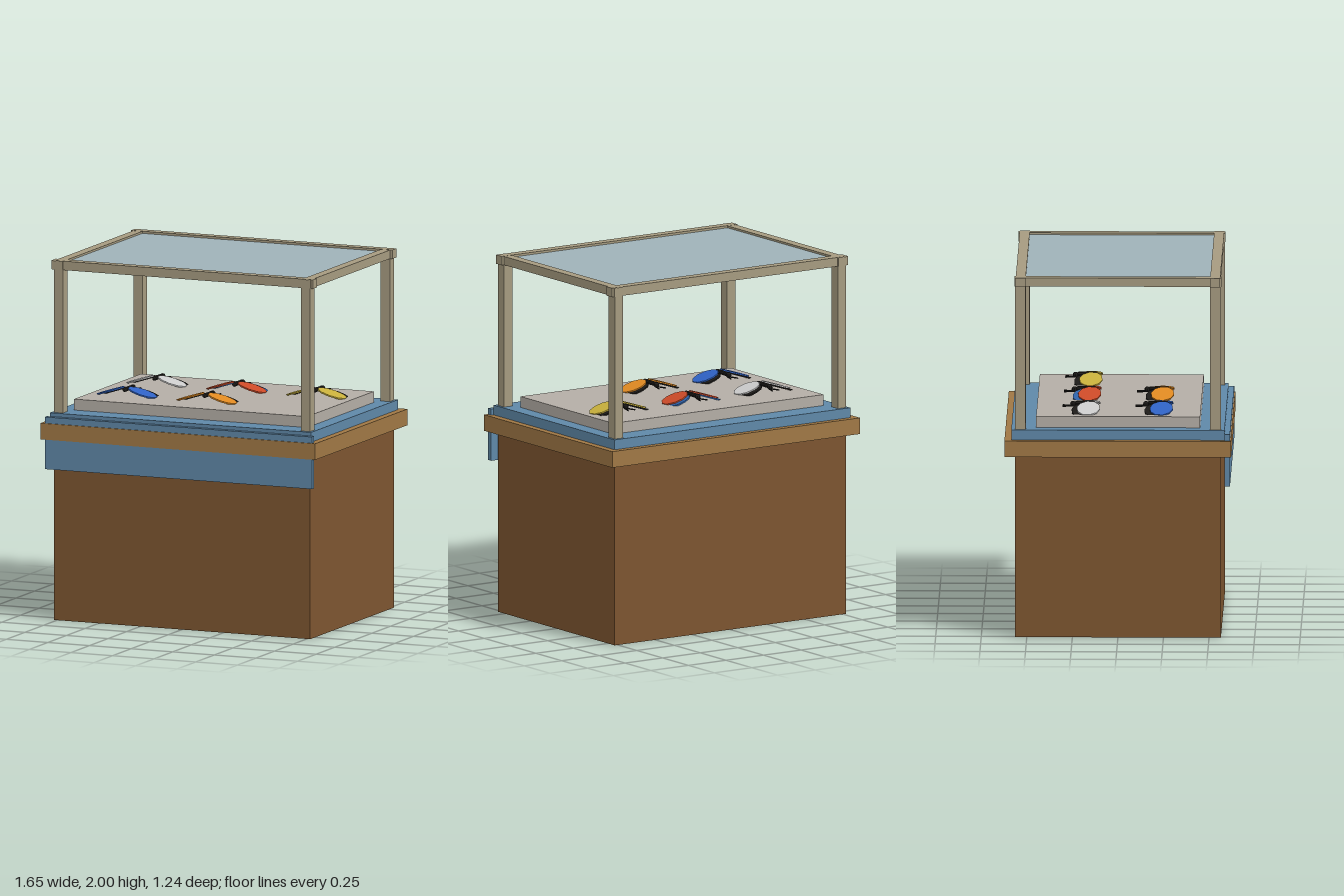
import * as THREE from 'three';

const mat = (color) => new THREE.MeshStandardMaterial({ color, flatShading: true });
const WOOD = mat(0x7d5530), TRIM = mat(0xa07845), CLOTH = mat(0x5f88a8), PAD = mat(0xb4aea6);
const FRAME = mat(0xa69b80), GLASS = mat(0x9fb2b8), DARK = mat(0x1c1a18);

function add(parent, name, geometry, material, x = 0, y = 0, z = 0) {
  const mesh = new THREE.Mesh(geometry, material);
  mesh.name = name;
  mesh.position.set(x, y, z);
  parent.add(mesh);
  return mesh;
}

// Box given by its extents along each axis
function block(parent, name, material, [x0, x1], [y0, y1], [z0, z1]) {
  return add(parent, name, new THREE.BoxGeometry(x1 - x0, y1 - y0, z1 - z0), material,
    (x0 + x1) / 2, (y0 + y1) / 2, (z0 + z1) / 2);
}

// Butterfly with drooping wings, head towards -z
function butterfly(color, accent) {
  const g = new THREE.Group();
  g.name = 'butterfly';
  const main = mat(color), tip = accent ? mat(accent) : DARK;

  const body = add(g, 'body', new THREE.CapsuleGeometry(0.013, 0.09, 3, 8), DARK, 0, 0.038, 0.015);
  body.rotation.x = Math.PI / 2;
  add(g, 'head', new THREE.SphereGeometry(0.016, 8, 6), DARK, 0, 0.034, -0.05);

  for (const s of [-1, 1]) {
    const side = new THREE.Group();
    side.name = s > 0 ? 'leftWings' : 'rightWings';
    side.position.set(s * 0.01, 0.05, 0);
    side.rotation.z = -s * 0.3;
    g.add(side);
    const wing = (name, m, rx, rz, x, y, z, turn) => {
      const geo = new THREE.CylinderGeometry(1, 1, 0.008, 10).scale(rx, 1, rz);
      add(side, name, geo, m, s * x, y, z).rotation.y = s * turn;
    };
    wing('wing', main, 0.085, 0.064, 0.09, 0, 0.035, 0.15);
    wing('wingEdge', tip, 0.075, 0.045, 0.095, -0.007, -0.012, 0.15);

    const antenna = add(g, 'antenna', new THREE.CylinderGeometry(0.004, 0.004, 0.06, 5), DARK,
      s * 0.014, 0.024, -0.078);
    antenna.rotation.set(Math.PI / 2, 0, s * 0.3);
  }
  return g;
}

export function createModel() {
  const model = new THREE.Group();
  model.name = 'displayCase';

  // Cabinet, table top and cloth
  block(model, 'cabinet', WOOD, [-0.77, 0.77], [0, 1.01], [-0.565, 0.565]);
  block(model, 'tableTop', TRIM, [-0.825, 0.825], [1.01, 1.1], [-0.622, 0.622]);
  block(model, 'clothTop', CLOTH, [-0.785, 0.785], [1.1, 1.155], [-0.585, 0.585]);
  block(model, 'clothDrape', CLOTH, [-0.802, 0.802], [0.845, 1.135], [0.585, 0.615]);
  block(model, 'pad', PAD, [-0.7, 0.7], [1.155, 1.216], [-0.45, 0.45]);

  // Open frame with a pane on top
  const frame = new THREE.Group();
  frame.name = 'frame';
  model.add(frame);
  const span = (s, a, b) => (s > 0 ? [a, b] : [-b, -a]);
  for (const s of [-1, 1]) {
    for (const t of [-1, 1]) {
      block(frame, 'post', FRAME, span(s, 0.715, 0.77), [1.155, 1.955], span(t, 0.506, 0.566));
    }
    block(frame, 'longRail', FRAME, [-0.785, 0.785], [1.95, 2], span(s, 0.506, 0.561));
    block(frame, 'sideRail', FRAME, span(s, 0.717, 0.772), [1.951, 1.999], [-0.567, 0.567]);
  }
  block(frame, 'pane', GLASS, [-0.72, 0.72], [1.974, 1.988], [-0.51, 0.51]);

  // Five butterflies on the pad
  const specimens = [
    [-0.48, 0.2, 0x2f62c4], [0, 0.2, 0xe08a22], [-0.48, -0.2, 0xe4e4e4],
    [0, -0.2, 0xcc4a28, 0x2f62a8], [0.48, -0.2, 0xc8b03c],
  ];
  for (const [x, z, color, accent] of specimens) {
    const b = butterfly(color, accent);
    b.position.set(x, 1.216, z);
    model.add(b);
  }
  return model;
}
